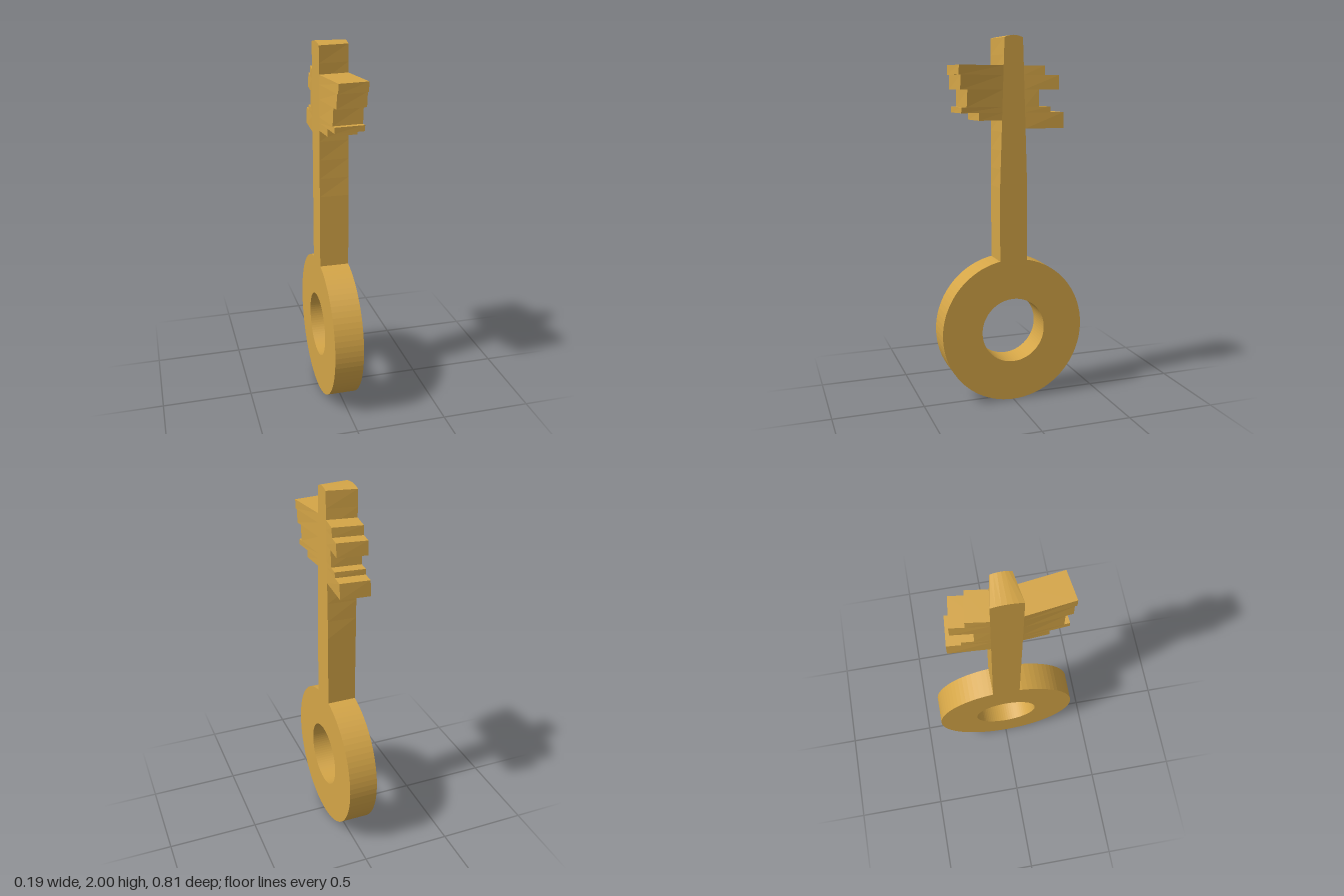
import * as THREE from 'three';

const BACK = -0.098, THICK = 0.158, HALF = 0.077, RING_Y = 0.403;

// the upper key fans open: the side angle grows with height above y = 1.2
const angleAt = (y) => Math.max(0, y - 1.2) * THREE.MathUtils.degToRad(12);

// z of the shaft side at height y and depth t (0 = back, 1 = front)
const sideZ = (y, t) => HALF - t * THICK * Math.sin(angleAt(y));

// move the vertices of a unit box by a rule and keep the faces flat
function shapedBox(segY, segZ, rule) {
  const geo = new THREE.BoxGeometry(1, 1, 1, 1, segY, segZ).toNonIndexed();
  const pos = geo.attributes.position;
  for (let i = 0; i < pos.count; i++) {
    pos.setXYZ(i, ...rule(pos.getX(i) + 0.5, pos.getY(i) + 0.5, pos.getZ(i)));
  }
  geo.computeVertexNormals();
  return geo;
}

export function createModel() {
  const key = new THREE.Group();
  key.name = 'key';
  const brass = new THREE.MeshStandardMaterial({ color: 0xd4a547 });
  brass.name = 'brass';
  const add = (name, geo) => {
    const mesh = new THREE.Mesh(geo, brass);
    mesh.name = name;
    key.add(mesh);
    return mesh;
  };

  // ring handle, its axis along x
  const disc = new THREE.Shape().absarc(0, 0, RING_Y, 0, Math.PI * 2);
  disc.holes.push(new THREE.Path().absarc(0, 0, 0.18, 0, Math.PI * 2, true));
  const ringGeo = new THREE.ExtrudeGeometry(disc, { depth: THICK, bevelEnabled: false, curveSegments: 40 });
  ringGeo.rotateY(Math.PI / 2).translate(BACK, RING_Y, 0);
  add('ringHandle', ringGeo);

  // shaft, narrowing to the front near its gently rounded tip
  add('shaft', shapedBox(12, 6, (t, v, w) => {
    const y = v < 0.01 ? 0.79 : 0.8 + 1.2 * v;
    const tipDrop = v > 0.99 ? 0.012 * (2 * w) ** 2 : 0;
    return [BACK + t * THICK, y - tipDrop, 2 * w * sideZ(y, t)];
  }));

  // teeth: [side, bottom, top, reach along z]
  const teeth = [
    [1, 1.795, 1.845, 0.33], [1, 1.72, 1.795, 0.318], [1, 1.63, 1.72, 0.278],
    [1, 1.6, 1.63, 0.307], [1, 1.56, 1.6, 0.208],
    [-1, 1.795, 1.845, 0.191], [-1, 1.72, 1.795, 0.266], [-1, 1.63, 1.72, 0.155],
    [-1, 1.6, 1.63, 0.217], [-1, 1.515, 1.6, 0.29],
  ];
  teeth.forEach(([side, y0, y1, reach], i) => {
    add(`tooth${i + 1}`, shapedBox(1, 1, (t, v, w) => {
      const y = y0 + (y1 - y0) * v;
      const d = (side * w + 0.5) * (reach - HALF);
      const a = angleAt(y);
      return [BACK + t * THICK + d * Math.sin(a), y, side * (sideZ(y, t) + d * Math.cos(a))];
    }));
  });

  return key;
}
